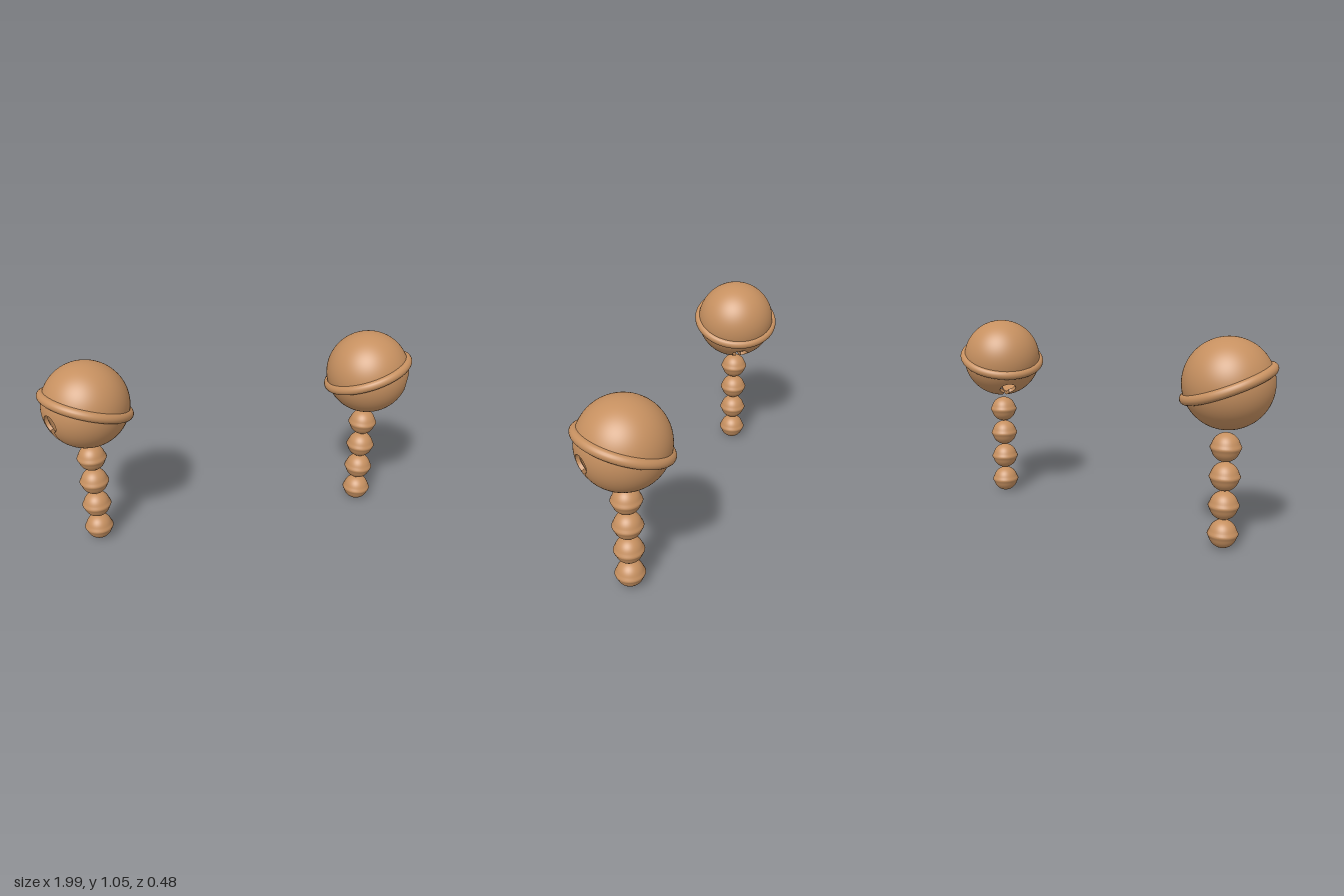
import * as THREE from 'three';
import { mergeGeometries } from 'three/addons/utils/BufferGeometryUtils.js';

const RAD = Math.PI / 180;
const R_OUT = 0.2225, R_IN = 0.203;          // bell shell radii
const HOLE_AT = 61, HOLE_R = 12, SLOT = 3.7; // keyhole slot, in degrees of arc

// Grid surface from fn(u, v); faces along du x dv unless flipped
function grid(us, vs, fn, flip) {
  const pos = [], idx = [], n = vs.length;
  for (const u of us) for (const v of vs) pos.push(...fn(u, v));
  for (let i = 0; i < us.length - 1; i++) {
    for (let j = 0; j < n - 1; j++) {
      const a = i * n + j, b = a + n, c = b + 1, d = a + 1;
      if (flip) idx.push(a, c, b, a, d, c);
      else idx.push(a, b, c, a, c, d);
    }
  }
  const g = new THREE.BufferGeometry();
  g.setAttribute('position', new THREE.Float32BufferAttribute(pos, 3));
  g.setIndex(idx);
  g.computeVertexNormals();
  return g;
}

// Exact sphere normals, so that the two halves join smoothly
function sphereNormals(g, sign) {
  const p = g.attributes.position, v = new THREE.Vector3();
  for (let i = 0; i < p.count; i++) {
    v.fromBufferAttribute(p, i).normalize().multiplyScalar(sign);
    g.attributes.normal.setXYZ(i, v.x, v.y, v.z);
  }
  return g;
}

// Half width of the slot at angle a from the bottom pole
function halfWidth(a) {
  const d = Math.abs(a);
  const c = Math.sqrt(Math.max(0, HOLE_R ** 2 - (d - HOLE_AT) ** 2));
  return d <= HOLE_AT ? Math.max(SLOT, c) : c;
}

// Hollow shell with a slot under it that ends in two round holes
function shellGeometry() {
  const half = [];
  for (let i = 0; i < 14; i++) half.push(i * 3.5);
  for (let i = 0; i <= 24; i++) half.push(HOLE_AT - HOLE_R * Math.cos(i * Math.PI / 24));
  const slotHalf = half.slice();
  for (let i = 1; i <= 30; i++) half.push(73 + i * 107 / 30);
  const both = h => [...h.slice(1).reverse().map(a => -a), ...h];
  const around = both(half), along = both(slotHalf);
  const steps = Array.from({ length: 25 }, (_, i) => i / 24);
  const point = (a, b, r) => [
    r * Math.cos(b * RAD) * Math.sin(a * RAD),
    -r * Math.cos(b * RAD) * Math.cos(a * RAD),
    r * Math.sin(b * RAD)];
  const parts = [];
  for (const s of [1, -1]) {
    const skin = r => (a, t) => {
      const w = halfWidth(a);
      return point(a, s * (w + (90 - w) * t), r);
    };
    parts.push(sphereNormals(grid(around, steps, skin(R_OUT), s < 0), 1));
    parts.push(sphereNormals(grid(around, steps, skin(R_IN), s > 0), -1));
    parts.push(grid(along, [R_OUT, R_IN], (a, r) => point(a, s * halfWidth(a), r), s > 0));
  }
  return mergeGeometries(parts);
}

// Round bead with a flared waist
function beadGeometry() {
  const pts = [];
  const R = 0.0725;
  for (let i = 0; i <= 32; i++) {
    const t = -Math.PI / 2 + i * Math.PI / 32;
    const y = R * Math.sin(t);
    const flare = 0.0065 * Math.exp(-((y / 0.011) ** 2));
    pts.push(new THREE.Vector2(Math.max(0, (R - 0.001) * Math.cos(t) + flare), y));
  }
  return new THREE.LatheGeometry(pts, 40);
}

export function createModel() {
  const model = new THREE.Group();
  const bronze = new THREE.MeshStandardMaterial({ color: 0xc69060 });
  bronze.name = 'bronze';

  const shellGeo = shellGeometry();
  const ringGeo = new THREE.TorusGeometry(0.22, 0.025, 20, 96).rotateX(Math.PI / 2);
  const beadGeo = beadGeometry();

  const add = (parent, geo, name) => {
    const m = new THREE.Mesh(geo, bronze);
    m.name = name;
    parent.add(m);
    return m;
  };

  for (const [side, label] of [[1, 'left'], [-1, 'right']]) {
    const earring = new THREE.Group();
    earring.name = label + 'Earring';
    earring.position.x = side * 0.762;

    // Tilted bell: local y is the ring axis, local x runs along the slot
    const bell = new THREE.Group();
    bell.name = label + 'Bell';
    const up = new THREE.Vector3(-0.311 * side, 0.933, -0.181).normalize();
    const slot = new THREE.Vector3(0.793 * side, 0.36, 0.494);
    slot.addScaledVector(up, -slot.dot(up)).normalize();
    const cross = new THREE.Vector3().crossVectors(slot, up);
    bell.quaternion.setFromRotationMatrix(new THREE.Matrix4().makeBasis(slot, up, cross));
    bell.position.y = 0.8275;
    add(bell, shellGeo, 'bellShell');
    add(bell, ringGeo, 'bellRing');
    earring.add(bell);

    // Stack of beads under the bell
    for (let i = 0; i < 4; i++) {
      add(earring, beadGeo, 'bead').position.y = 0.0755 + i * 0.1467;
    }
    model.add(earring);
  }
  return model;
}
